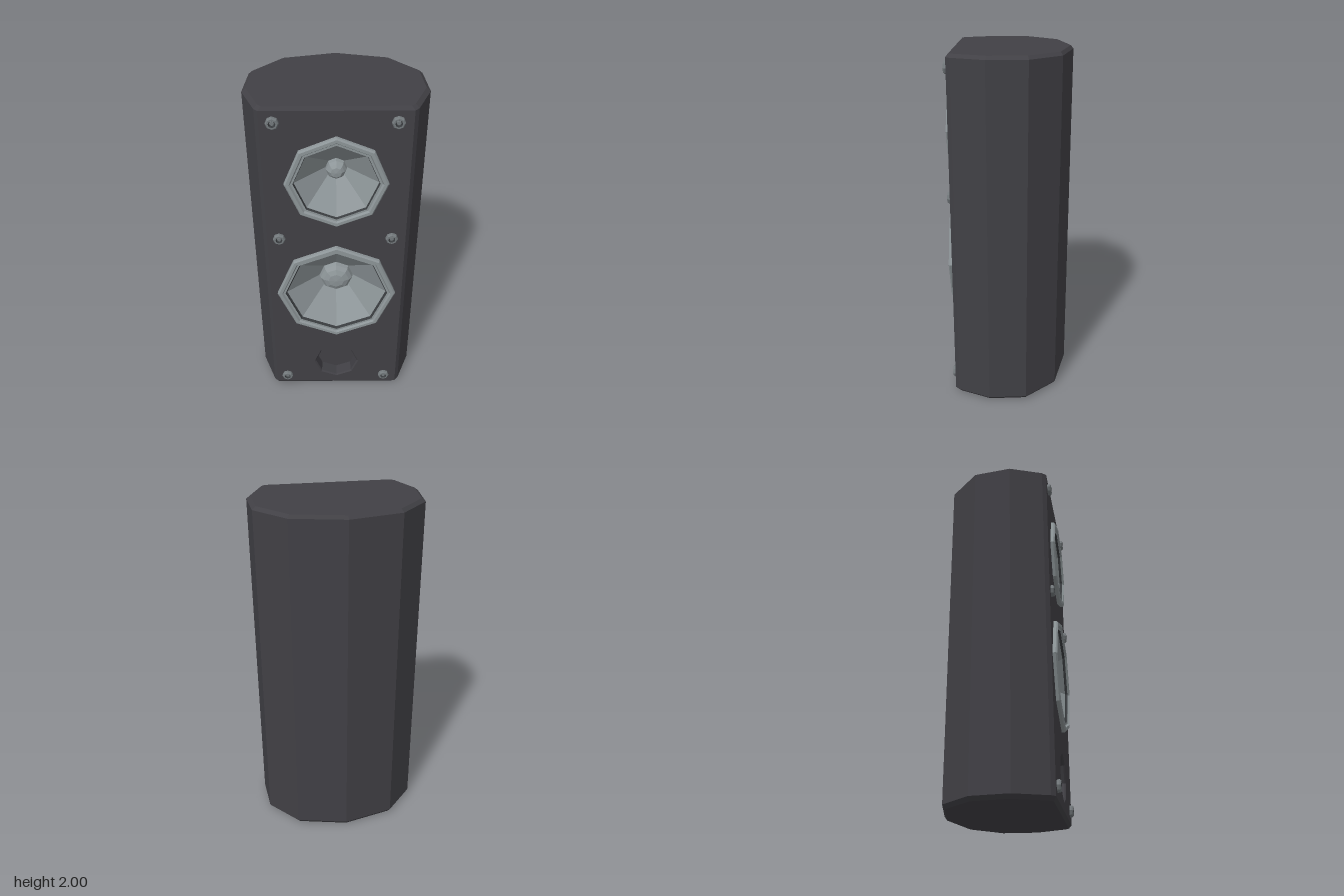
import * as THREE from 'three';

const mat = (name, color) => new THREE.MeshStandardMaterial({ name, color, flatShading: true });

// Cabinet cross-section (x, z), right half from the back ridge to the front edge
const HALF = [[0, -0.345], [0.298, -0.277], [0.46, -0.103], [0.478, 0.112], [0.402, 0.297], [0.38, 0.32]];
const FRONT_Z = 0.32;

function cabinetShell() {
  const left = HALF.slice(1).reverse().map(([x, z]) => [-x, z]);
  const outline = [...HALF, ...left];
  const n = outline.length;
  const rings = [[0, 0.955], [0.022, 1], [1.982, 1], [2, 0.955]].map(([y, s]) =>
    outline.map(([x, z]) => [x * s, y, z * s]));
  const pos = [];
  const tri = (a, b, c) => pos.push(...a, ...b, ...c);
  for (let r = 0; r < 3; r++) {
    for (let i = 0; i < n; i++) {
      if (r === 1 && i === HALF.length - 1) continue; // the front baffle closes this side
      const j = (i + 1) % n;
      const [a, b, c, d] = [rings[r][i], rings[r][j], rings[r + 1][j], rings[r + 1][i]];
      tri(a, c, b);
      tri(a, d, c);
    }
  }
  // top and bottom caps
  for (let i = 1; i < n - 1; i++) {
    tri(rings[3][0], rings[3][i + 1], rings[3][i]);
    tri(rings[0][0], rings[0][i], rings[0][i + 1]);
  }
  const g = new THREE.BufferGeometry();
  g.setAttribute('position', new THREE.Float32BufferAttribute(pos, 3));
  g.computeVertexNormals();
  return g;
}

function baffle(holes) {
  const s = new THREE.Shape([[-0.38, 0.022], [0.38, 0.022], [0.38, 1.982], [-0.38, 1.982]]
    .map(([x, y]) => new THREE.Vector2(x, y)));
  for (const [cy, r] of holes) {
    const pts = [];
    for (let i = 0; i < 8; i++) {
      const a = -i * Math.PI / 4;
      pts.push(new THREE.Vector2(r * Math.cos(a), cy + r * Math.sin(a)));
    }
    s.holes.push(new THREE.Path(pts));
  }
  return new THREE.ShapeGeometry(s).translate(0, 0, FRONT_Z);
}

// Octagonal turned part facing +z; profile of [radius, height above baffle], outside in
const turned = (profile, sides = 8) =>
  new THREE.LatheGeometry(profile.map(([r, h]) => new THREE.Vector2(r, h)), sides).rotateX(Math.PI / 2);

export function createModel() {
  const group = new THREE.Group();
  const black = mat('cabinetBlack', 0x414045);
  const grey = mat('driverGrey', 0x8d9598);
  const dark = mat('gasketDark', 0x3a3d40);
  const steel = mat('screwGrey', 0x73797c);

  const add = (name, geo, material, x = 0, y = 0, z = 0, parent = group) => {
    const m = new THREE.Mesh(geo, material);
    m.name = name;
    m.position.set(x, y, z);
    parent.add(m);
  };

  add('cabinet', cabinetShell(), black);
  add('frontBaffle', baffle([[1.57, 0.24], [0.81, 0.305], [0.21, 0.138]]), black);

  // Drivers: frame ring, gasket, cone and dust cap
  const driver = (name, y, R, coneR, capR, tipR) => {
    const d = new THREE.Group();
    d.name = name;
    d.position.set(0, y, FRONT_Z);
    group.add(d);
    add('frameRing', turned([[R, -0.002], [R, 0.017], [R - 0.008, 0.025], [R - 0.026, 0.025],
      [R - 0.034, 0.014], [R - 0.046, 0.014]]), grey, 0, 0, 0, d);
    add('gasket', turned([[R - 0.046, 0.014], [R - 0.048, 0.004], [coneR, 0]]), dark, 0, 0, 0, d);
    add('cone', turned([[coneR, 0], [capR, -0.15]]), grey, 0, 0, 0, d);
    add('dustCap', turned([[capR, -0.15], [capR * 0.94, -0.125], [capR * 0.76, -0.105],
      [tipR, -0.092], [0, -0.088]]), grey, 0, 0, 0, d);
  };
  driver('tweeter', 1.57, 0.273, 0.222, 0.058, 0.03);
  driver('woofer', 0.81, 0.342, 0.287, 0.1, 0.046);

  // Bass port recess
  add('bassPort', turned([[0.138, 0], [0.13, -0.008], [0.128, -0.075], [0, -0.075]]), black, 0, 0.21, FRONT_Z);

  // Baffle screws with a sunken socket
  for (const y of [1.92, 1.207, 0.087]) {
    for (const x of [-0.314, 0.303]) {
      add('screw', turned([[0.034, -0.002], [0.034, 0.014], [0.028, 0.021], [0.019, 0.021]]), steel, x, y, FRONT_Z);
      add('screwSocket', turned([[0.019, 0.021], [0.016, 0.008], [0.012, 0.008]]), dark, x, y, FRONT_Z);
      add('screwCentre', turned([[0.012, 0.008], [0.011, 0.014], [0, 0.014]]), steel, x, y, FRONT_Z);
    }
  }
  return group;
}
